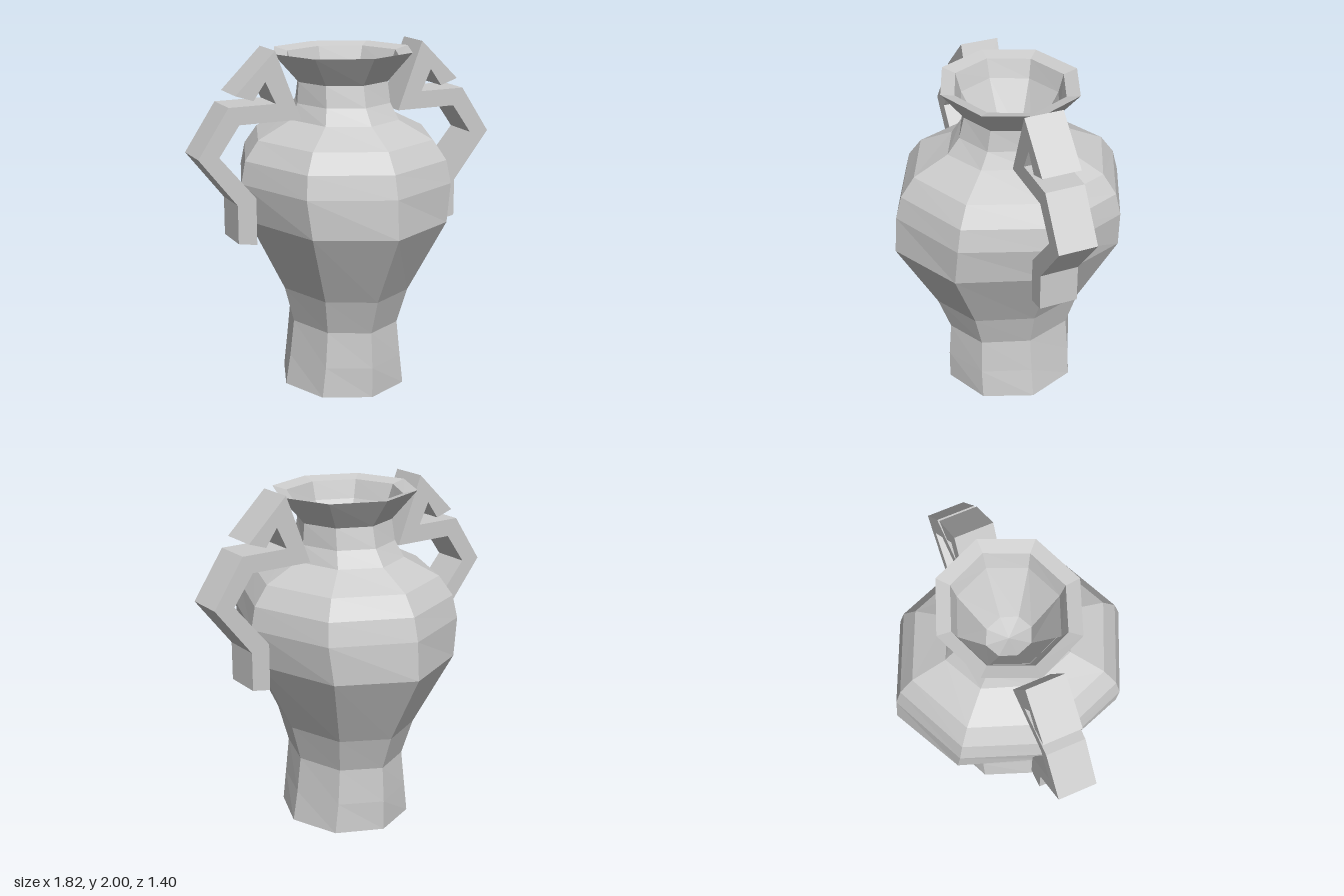
import * as THREE from 'three';

const material = new THREE.MeshStandardMaterial({ color: 0xcccccc, flatShading: true });

// Rings of the vase: [half width in x, half depth in z, height],
// from the base up the outside, over the lip and down the inside.
const rings = [
  [0, 0, 0],
  [0.37, 0.40, 0],
  [0.34, 0.40, 0.18],
  [0.315, 0.385, 0.39],
  [0.37, 0.46, 0.60],
  [0.585, 0.70, 1.03],
  [0.625, 0.685, 1.25],
  [0.60, 0.65, 1.38],
  [0.52, 0.57, 1.49],
  [0.32, 0.37, 1.59],
  [0.28, 0.30, 1.68],
  [0.27, 0.27, 1.80],
  [0.42, 0.40, 1.965],
  [0.34, 0.32, 1.945],
  [0.30, 0.29, 1.84],
  [0.12, 0.135, 1.56],
  [0, 0, 1.53],
];

// Half outline of a scrolled handle on the +x side.
const handleOutline = [
  [0.455, 2.0], [0.69, 1.77], [0.585, 1.735], [0.515, 1.835], [0.455, 1.71],
  [0.73, 1.71], [0.91, 1.44], [0.69, 1.16], [0.69, 0.94], [0.58, 0.92],
  [0.58, 1.19], [0.79, 1.44], [0.67, 1.61], [0.305, 1.61],
];

// Eight-sided lathe whose rings are stretched separately in z.
function makeVase() {
  const profile = rings.map(([rx, , y]) => new THREE.Vector2(rx, y));
  const geometry = new THREE.LatheGeometry(profile, 8);
  const pos = geometry.attributes.position;
  for (let i = 0; i < pos.count; i++) {
    const [rx, rz] = rings[i % rings.length];
    if (rx > 0) pos.setZ(i, pos.getZ(i) * rz / rx);
  }
  geometry.computeVertexNormals();
  const mesh = new THREE.Mesh(geometry, material);
  mesh.name = 'vaseBody';
  return mesh;
}

// Flat bar handle, centred in z.
function makeHandle(side, name) {
  const depth = 0.22;
  const shape = new THREE.Shape(handleOutline.map(([x, y]) => new THREE.Vector2(side * x, y)));
  const geometry = new THREE.ExtrudeGeometry(shape, { depth, bevelEnabled: false });
  geometry.translate(0, 0, -depth / 2);
  const mesh = new THREE.Mesh(geometry, material);
  mesh.name = name;
  return mesh;
}

export function createModel() {
  const group = new THREE.Group();
  group.name = 'twoHandledVase';
  group.add(makeVase(), makeHandle(1, 'leftHandle'), makeHandle(-1, 'rightHandle'));
  return group;
}
